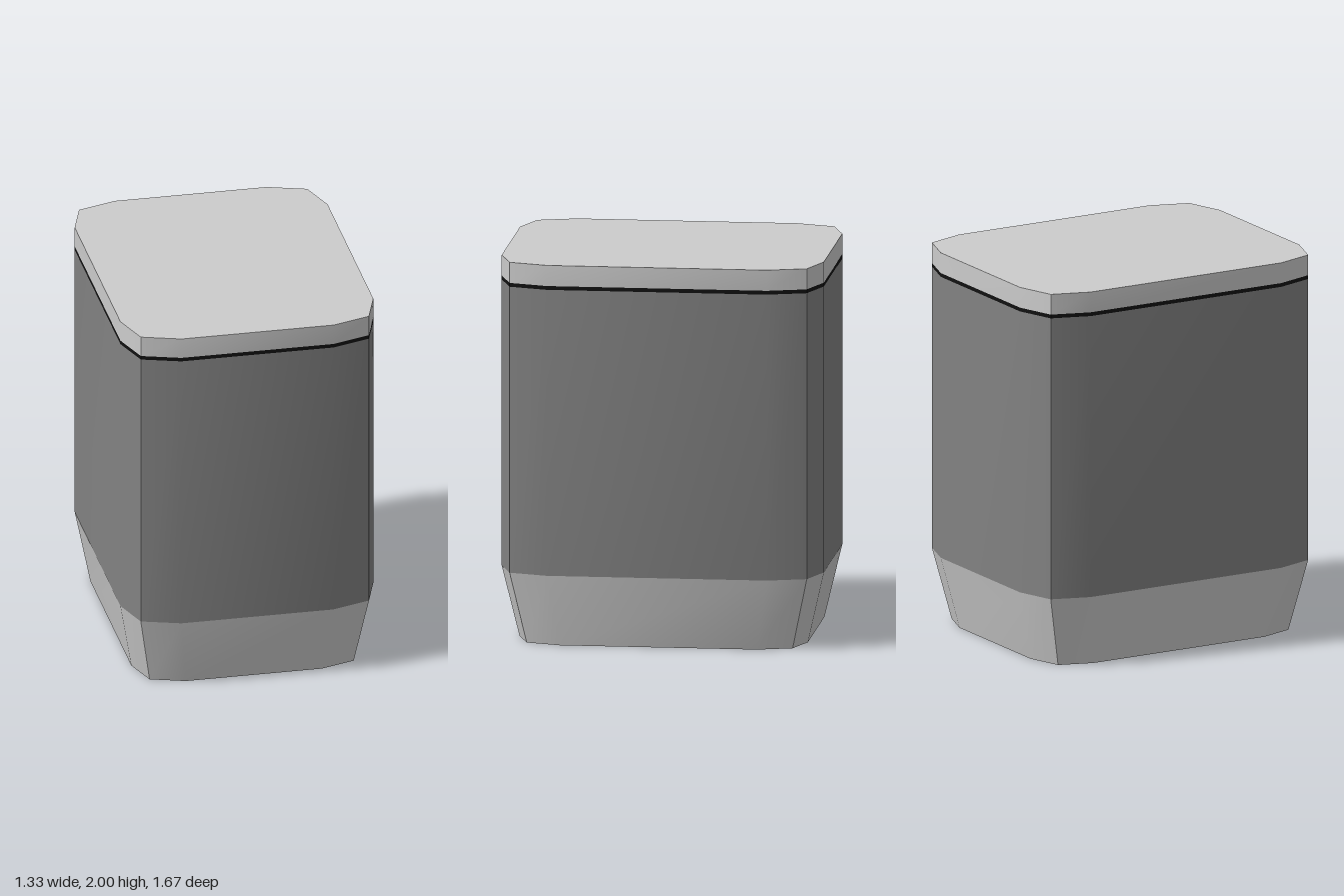
import * as THREE from 'three';
import { toCreasedNormals } from 'three/addons/utils/BufferGeometryUtils.js';

// One quarter of the footprint (x, z), running from the side to the front
const QUARTER = [[0.665, 0.57], [0.6, 0.77], [0.4, 0.835]];

// Full footprint, counter-clockwise seen from above
function footprint() {
  const back = QUARTER.map(([x, z]) => [x, -z]);
  const half = [...back, ...back.map(([x, z]) => [-x, z]).reverse()];
  return [...half, ...half.map(([x, z]) => [-x, -z])];
}

// Wall between two scaled footprints, with an optional cap at either end
function section(y0, scale0, y1, scale1, capBottom = false, capTop = false) {
  const outline = footprint();
  const ring = (y, s) => outline.map(([x, z]) => [x * s, y, z * s]);
  const low = ring(y0, scale0), high = ring(y1, scale1);
  const positions = [];
  const tri = (...corners) => corners.forEach((c) => positions.push(...c));
  for (let i = 0; i < outline.length; i++) {
    const j = (i + 1) % outline.length;
    tri(low[i], low[j], high[j]);
    tri(low[i], high[j], high[i]);
    if (capBottom) tri([0, y0, 0], low[j], low[i]);
    if (capTop) tri([0, y1, 0], high[i], high[j]);
  }
  const geometry = new THREE.BufferGeometry();
  geometry.setAttribute('position', new THREE.Float32BufferAttribute(positions, 3));
  return toCreasedNormals(geometry, THREE.MathUtils.degToRad(40));
}

export function createModel() {
  const model = new THREE.Group();
  model.name = 'bin';
  const add = (name, geometry, color) => {
    const mesh = new THREE.Mesh(geometry, new THREE.MeshStandardMaterial({ color }));
    mesh.name = name;
    model.add(mesh);
  };

  add('taperedBase', section(0, 0.895, 0.375, 1, true), 0xcccccc);
  add('body', section(0.375, 1, 1.872, 1), 0x828282);
  add('lidSeam', section(1.872, 1, 1.892, 1), 0x111111);
  add('lid', section(1.892, 1, 2, 1, false, true), 0xcccccc);
  return model;
}
